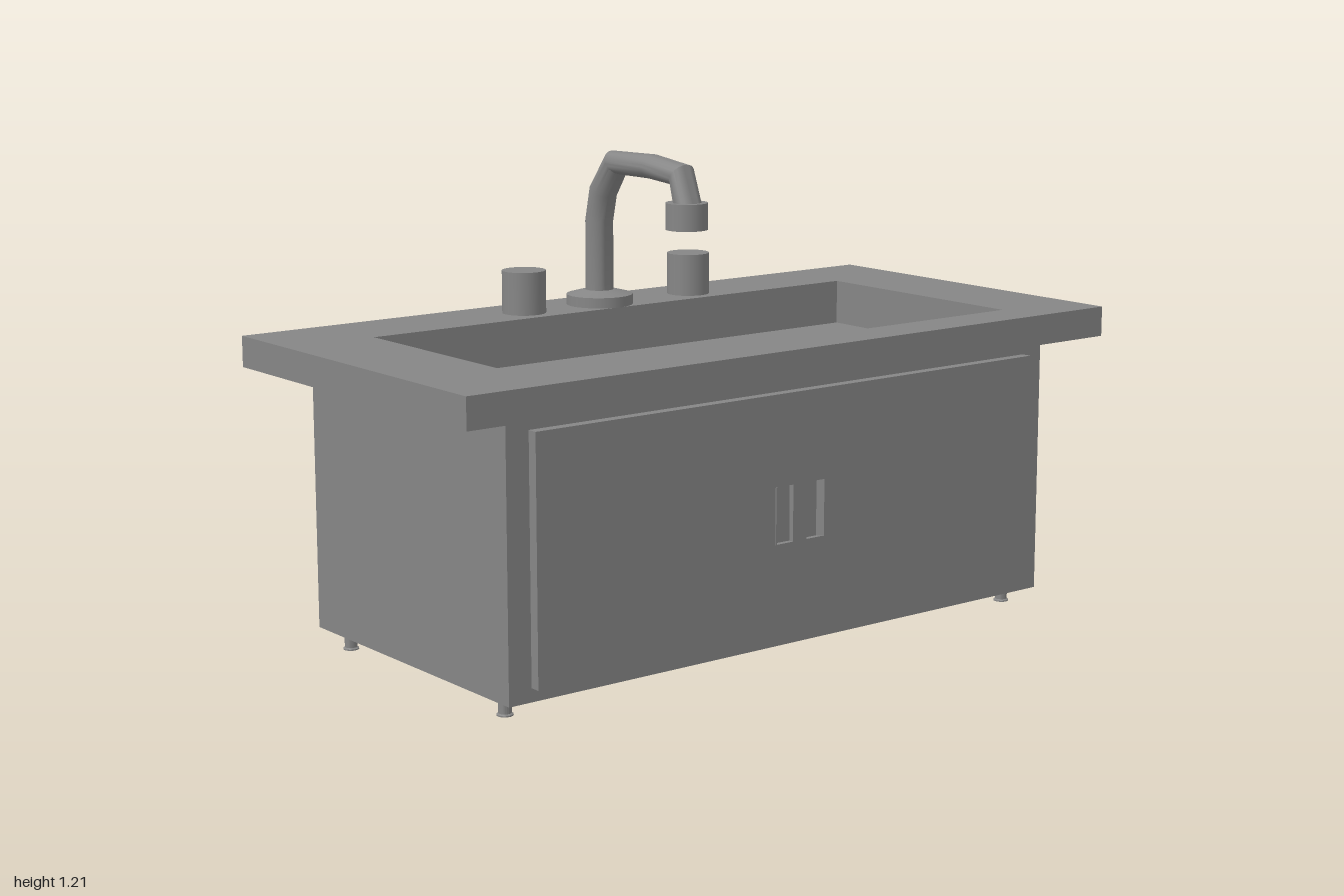
import * as THREE from 'three';
import { toCreasedNormals } from 'three/addons/utils/BufferGeometryUtils.js';

const material = new THREE.MeshStandardMaterial();
material.color.set(0x868686);
const CX = -0.005; // tap centre line
const TAP_Z = -0.365;
const PULL_Y = [0.312, 0.455];

function add(parent, name, geometry, x = 0, y = 0, z = 0) {
  const mesh = new THREE.Mesh(geometry, material);
  mesh.name = name;
  mesh.position.set(x, y, z);
  parent.add(mesh);
  return mesh;
}

function rect(x0, x1, y0, y1, Type = THREE.Shape) {
  return new Type([[x0, y0], [x1, y0], [x1, y1], [x0, y1]].map(p => new THREE.Vector2(...p)));
}

// Extrude a plan shape (drawn as x, -z) upwards from y0 to y1
function extrudeUp(shape, y0, y1) {
  return new THREE.ExtrudeGeometry(shape, { depth: y1 - y0, bevelEnabled: false })
    .rotateX(-Math.PI / 2).translate(0, y0, 0);
}

// Rectangular slab with the basin opening cut through it
function basinSlab(halfW, front, back, y0, y1) {
  const shape = rect(-halfW, halfW, -front, back);
  shape.holes.push(rect(-0.756, 0.756, -0.374, 0.278, THREE.Path));
  return extrudeUp(shape, y0, y1);
}

// Mitred pipe: each section is [outer z, outer y, inner z, inner y]
function pipe(sections, radius, sides = 24) {
  const pos = [], index = [];
  sections.forEach(([oz, oy, iz, iy], i) => {
    for (let k = 0; k <= sides; k++) {
      const a = (k / sides) * Math.PI * 2, c = Math.cos(a) / 2;
      pos.push(radius * Math.sin(a), (oy + iy) / 2 + (oy - iy) * c, (oz + iz) / 2 + (oz - iz) * c);
      if (i && k) {
        const d = i * (sides + 1) + k, b = d - sides - 1;
        index.push(b - 1, d - 1, b, b, d - 1, d);
      }
    }
  });
  const geometry = new THREE.BufferGeometry();
  geometry.setAttribute('position', new THREE.Float32BufferAttribute(pos, 3));
  geometry.setIndex(index);
  return toCreasedNormals(geometry, 0.6);
}

export function createModel() {
  const model = new THREE.Group();
  model.name = 'sinkCabinet';

  // Worktop and cabinet; the basin floor lies just below the worktop
  add(model, 'worktop', basinSlab(1, 0.497, 0.497, 0.72, 0.798));
  add(model, 'basinWalls', basinSlab(0.848, 0.423, 0.422, 0.68, 0.72));
  add(model, 'cabinet', new THREE.BoxGeometry(1.696, 0.634, 0.845), 0, 0.363, 0.0005);

  // Front panel with two recessed pulls
  const panel = rect(-0.785, 0.784, 0.08, 0.684);
  const pulls = [-1, 1].map(s => ({ s, outer: -0.0015 + s * 0.0785, inner: -0.0015 + s * 0.022 }));
  for (const { outer, inner } of pulls) {
    panel.holes.push(rect(Math.min(outer, inner), Math.max(outer, inner), ...PULL_Y, THREE.Path));
  }
  add(model, 'frontPanel', new THREE.ExtrudeGeometry(panel, { depth: 0.03, bevelEnabled: false }), 0, 0, 0.42);
  for (const { s, outer, inner } of pulls) {
    // Recess floor with a sloped grip rising along its outer edge
    const grip = new THREE.Shape([
      [outer, -0.421], [outer, -0.453], [outer - s * 0.003, -0.453],
      [outer - s * 0.014, -0.436], [inner, -0.436], [inner, -0.421],
    ].map(p => new THREE.Vector2(...p)));
    add(model, s < 0 ? 'rightPull' : 'leftPull', extrudeUp(grip, ...PULL_Y));
  }

  // Feet with a slightly flared end
  const footProfile = [[0, 0], [0.02, 0], [0.02, 0.003], [0.016, 0.006], [0.016, 0.048]]
    .map(p => new THREE.Vector2(...p));
  for (const x of [-0.805, 0.805]) {
    for (const z of [-0.341, 0.343]) {
      add(model, 'foot', toCreasedNormals(new THREE.LatheGeometry(footProfile, 20), 0.6), x, 0, z);
    }
  }

  // Tap: flange, bent spout and nozzle
  const tap = new THREE.Group();
  tap.name = 'tap';
  tap.position.x = CX;
  model.add(tap);
  add(tap, 'flange', new THREE.CylinderGeometry(0.088, 0.088, 0.028, 32), 0, 0.811, TAP_Z);
  add(tap, 'flangeCone', new THREE.CylinderGeometry(0.042, 0.088, 0.012, 32), 0, 0.831, TAP_Z);
  add(tap, 'spout', pipe([
    [-0.402, 0.798, -0.328, 0.798],
    [-0.402, 1.022, -0.328, 1.018],
    [-0.381, 1.113, -0.312, 1.083],
    [-0.306, 1.208, -0.268, 1.149],
    [-0.13, 1.212, -0.138, 1.149],
    [0.005, 1.196, -0.033, 1.141],
    [0.045, 1.098, -0.025, 1.098],
  ], 0.037));
  add(tap, 'nozzle', new THREE.CylinderGeometry(0.054, 0.054, 0.068, 32), 0, 1.067, 0.007);

  // Hot and cold knobs
  for (const [name, x] of [['rightKnob', -0.248], ['leftKnob', 0.293]]) {
    add(model, name, new THREE.CylinderGeometry(0.057, 0.057, 0.112, 32), x, 0.853, TAP_Z);
  }
  return model;
}
